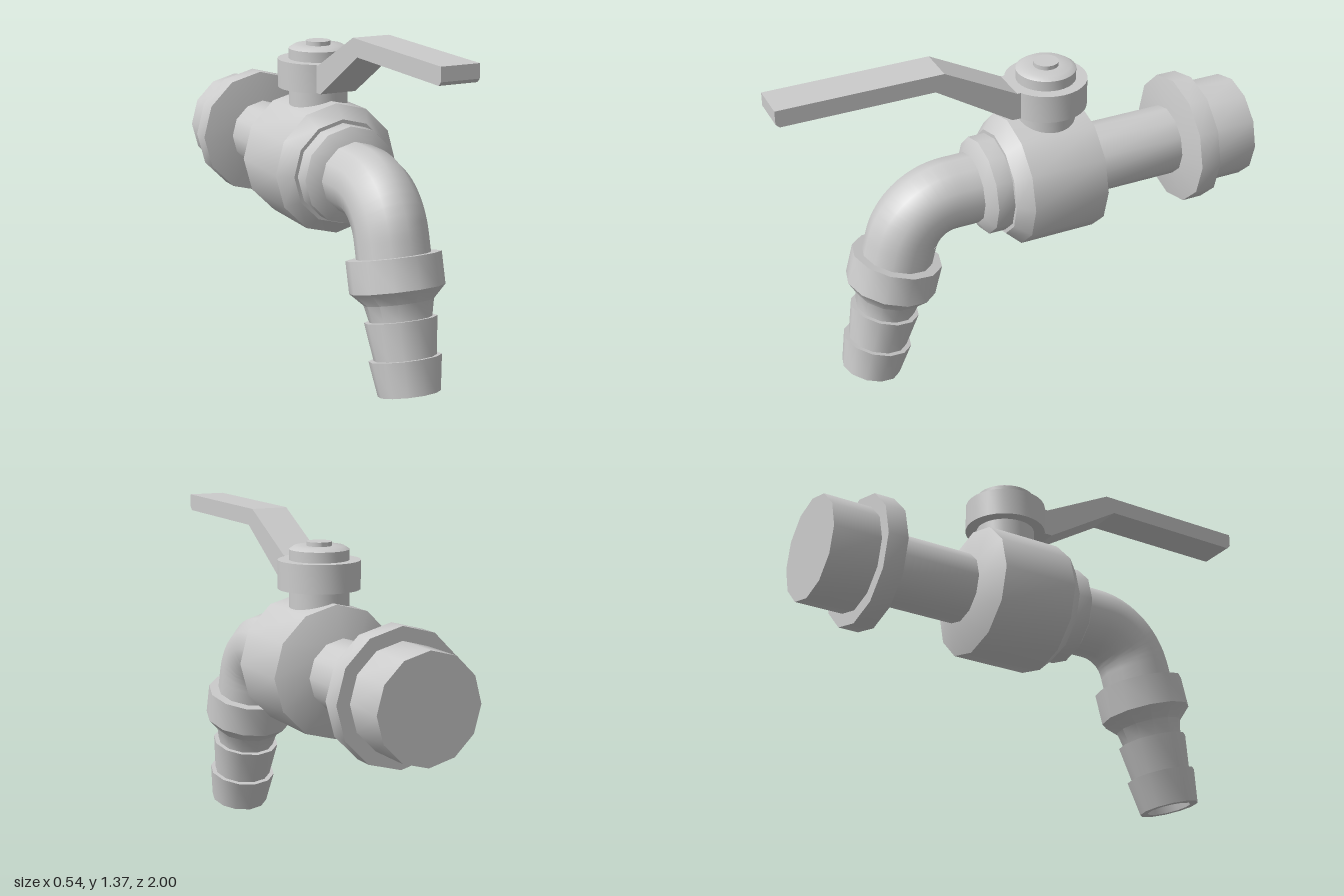
import * as THREE from 'three';
import { toCreasedNormals } from 'three/addons/utils/BufferGeometryUtils.js';

const material = new THREE.MeshStandardMaterial({ color: 0xcccccc });
const AXIS_Y = 0.785; // height of the main pipe axis
const PIPE_R = 0.145;
const TILT = THREE.MathUtils.degToRad(15); // spout lean from vertical

function part(name, geometry, crease = 0.6) {
  const mesh = new THREE.Mesh(toCreasedNormals(geometry, crease), material);
  mesh.name = name;
  return mesh;
}

// Turned solid; the profile is a list of [radius, distance along axis]
function turned(name, profile, sides) {
  const points = profile.map(([r, s]) => new THREE.Vector2(r, s));
  return part(name, new THREE.LatheGeometry(points, sides));
}

// Turned solid lying along the main pipe axis
function alongPipe(name, profile) {
  const mesh = turned(name, profile, 12);
  mesh.rotation.x = Math.PI / 2;
  mesh.position.y = AXIS_Y;
  return mesh;
}

export function createModel() {
  const model = new THREE.Group();
  model.name = 'tap';

  // Inlet with flange, then pipe running into the valve body
  model.add(
    alongPipe('inletConnector', [
      [0, -1], [0.215, -1], [0.215, -0.8], [0.27, -0.8], [0.27, -0.715], [PIPE_R, -0.692], [0, -0.692],
    ]),
    alongPipe('inletPipe', [[PIPE_R, -0.71], [PIPE_R, -0.3]]),
    alongPipe('valveBody', [
      [0, -0.335], [PIPE_R, -0.335], [0.27, -0.283], [0.27, 0.038], [0.215, 0.095],
      [0.2, 0.095], [0.2, 0.165], [PIPE_R, 0.2], [0, 0.2],
    ]),
  );

  // Bent outlet pipe: straight, arc, straight into the spout collar
  const collar = new THREE.Vector3(0, 0.55, 0.527);
  const bendR = 0.22;
  const turn = Math.PI / 2 - TILT;
  const cornerZ = collar.z - (AXIS_Y - collar.y) * Math.tan(TILT);
  const startZ = cornerZ - bendR * Math.tan(turn / 2);
  const path = [new THREE.Vector3(0, AXIS_Y, 0.15)];
  for (let i = 0; i <= 10; i++) {
    const a = (turn * i) / 10;
    path.push(new THREE.Vector3(0, AXIS_Y - bendR * (1 - Math.cos(a)), startZ + bendR * Math.sin(a)));
  }
  path.push(collar.clone().add(new THREE.Vector3(0, -Math.cos(TILT), Math.sin(TILT)).multiplyScalar(0.05)));
  const bend = new THREE.CurvePath();
  for (let i = 1; i < path.length; i++) bend.add(new THREE.LineCurve3(path[i - 1], path[i]));
  model.add(part('outletBend', new THREE.TubeGeometry(bend, 40, PIPE_R, 12)));

  // Barbed hose spout with an open bore
  const spout = turned('hoseSpout', [
    [0, 0], [0.186, 0], [0.186, 0.127], [0.136, 0.178], [0.122, 0.244],
    [0.142, 0.244], [0.122, 0.393], [0.142, 0.393], [0.122, 0.532],
    [0.09, 0.532], [0.09, 0.15], [0, 0.15],
  ], 12);
  spout.position.copy(collar);
  spout.rotation.x = Math.PI - TILT;
  model.add(spout);

  // Valve stem, handle hub, cap and nut
  const stem = turned('valveStem', [
    [0, 0.95], [0.12, 0.95], [0.12, 1.098], [0.165, 1.098], [0.165, 1.213], [0.12, 1.213],
    [0.12, 1.255], [0.1, 1.268], [0.05, 1.268], [0.05, 1.285], [0, 1.285],
  ], 32);
  stem.position.z = -0.13;
  model.add(stem);

  // Cranked lever handle, side outline as [z, y]
  const outline = [
    [-0.03, 1.1], [0.05, 1.1], [0.37, 1.3], [0.985, 1.3], [1, 1.315],
    [1, 1.37], [0.332, 1.37], [0.03, 1.213], [-0.03, 1.213],
  ];
  const lever = new THREE.ExtrudeGeometry(
    new THREE.Shape(outline.map(([z, y]) => new THREE.Vector2(z, y))),
    { depth: 0.156, bevelEnabled: false },
  );
  lever.translate(0, 0, -0.078).rotateY(-Math.PI / 2);
  model.add(part('leverHandle', lever, 0.3));

  return model;
}
